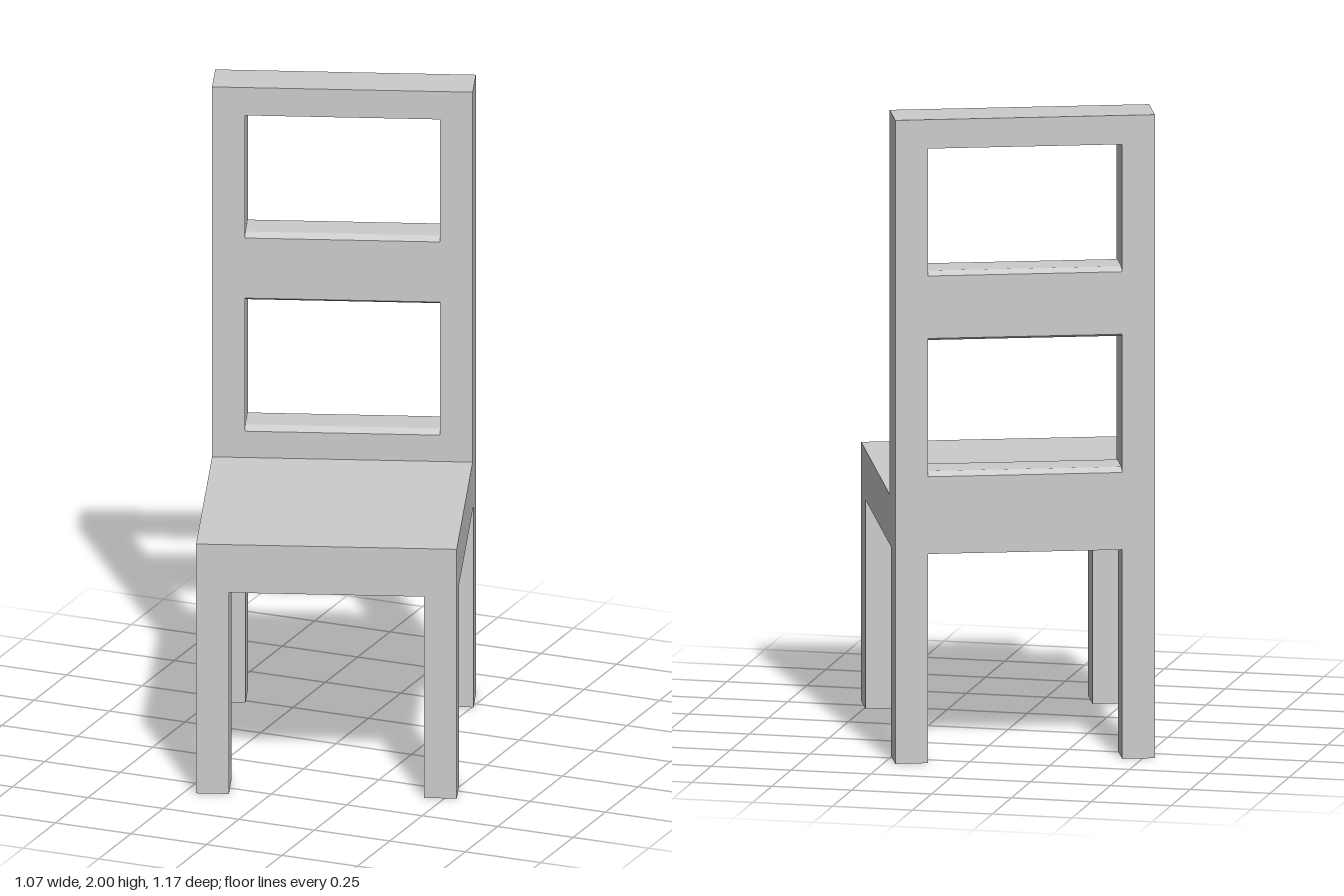
import * as THREE from 'three';

export function createModel() {
  const material = new THREE.MeshStandardMaterial({ color: 0xcccccc, flatShading: true });
  const W = 0.795, D = 0.954;          // footprint
  const seatBottom = 0.65, seatTop = 0.805, top = 2;
  const legW = 0.1, legD = 0.122, backD = 0.159;
  const backZ = -D / 2 + backD / 2;    // middle of the backrest

  const chair = new THREE.Group();
  chair.name = 'chair';

  const add = (name, geometry, x, y, z) => {
    const mesh = new THREE.Mesh(geometry, material);
    mesh.name = name;
    mesh.position.set(x, y, z);
    chair.add(mesh);
  };
  const box = (name, w, y0, y1, d, x, z) =>
    add(name, new THREE.BoxGeometry(w, y1 - y0, d), x, (y0 + y1) / 2, z);

  // Seat block
  box('seat', W, seatBottom, seatTop, D, 0, 0);

  // Legs and backrest posts, mirrored
  for (const [side, s] of [['left', 1], ['right', -1]]) {
    const x = s * (W - legW) / 2;
    box(`${side}FrontLeg`, legW, 0, seatBottom, legD, x, (D - legD) / 2);
    box(`${side}BackLeg`, legW, 0, seatBottom, legD, x, -(D - legD) / 2);
    box(`${side}BackPost`, legW, seatTop, top, backD, x, backZ);
  }

  // Rails with slightly chamfered edges above and below, run between the posts
  const rail = (name, y0, y1, riseTop, dropBottom) => {
    const h = backD / 2, c = 0.025, b = 0.01, length = W - 2 * legW;
    const profile = new THREE.Shape([
      [-h, y0], [-h + b, y0 - dropBottom], [h - b, y0 - dropBottom], [h, y0],
      [h, y1], [h - c, y1 + riseTop], [-h + c, y1 + riseTop], [-h, y1],
    ].map(([z, y]) => new THREE.Vector2(z, y)));
    const geometry = new THREE.ExtrudeGeometry(profile, { depth: length, bevelEnabled: false });
    geometry.translate(0, 0, -length / 2).rotateY(-Math.PI / 2);
    add(name, geometry, 0, 0, backZ);
  };
  rail('lowerRail', seatTop, 0.89, 0.013, 0);
  rail('middleRail', 1.32, 1.514, 0.012, 0.007);
  rail('topRail', 1.91, top, 0, 0);

  // The chair stands turned on the floor
  chair.rotation.y = THREE.MathUtils.degToRad(19.72);
  const model = new THREE.Group();
  model.name = 'turnedChair';
  model.add(chair);
  return model;
}
